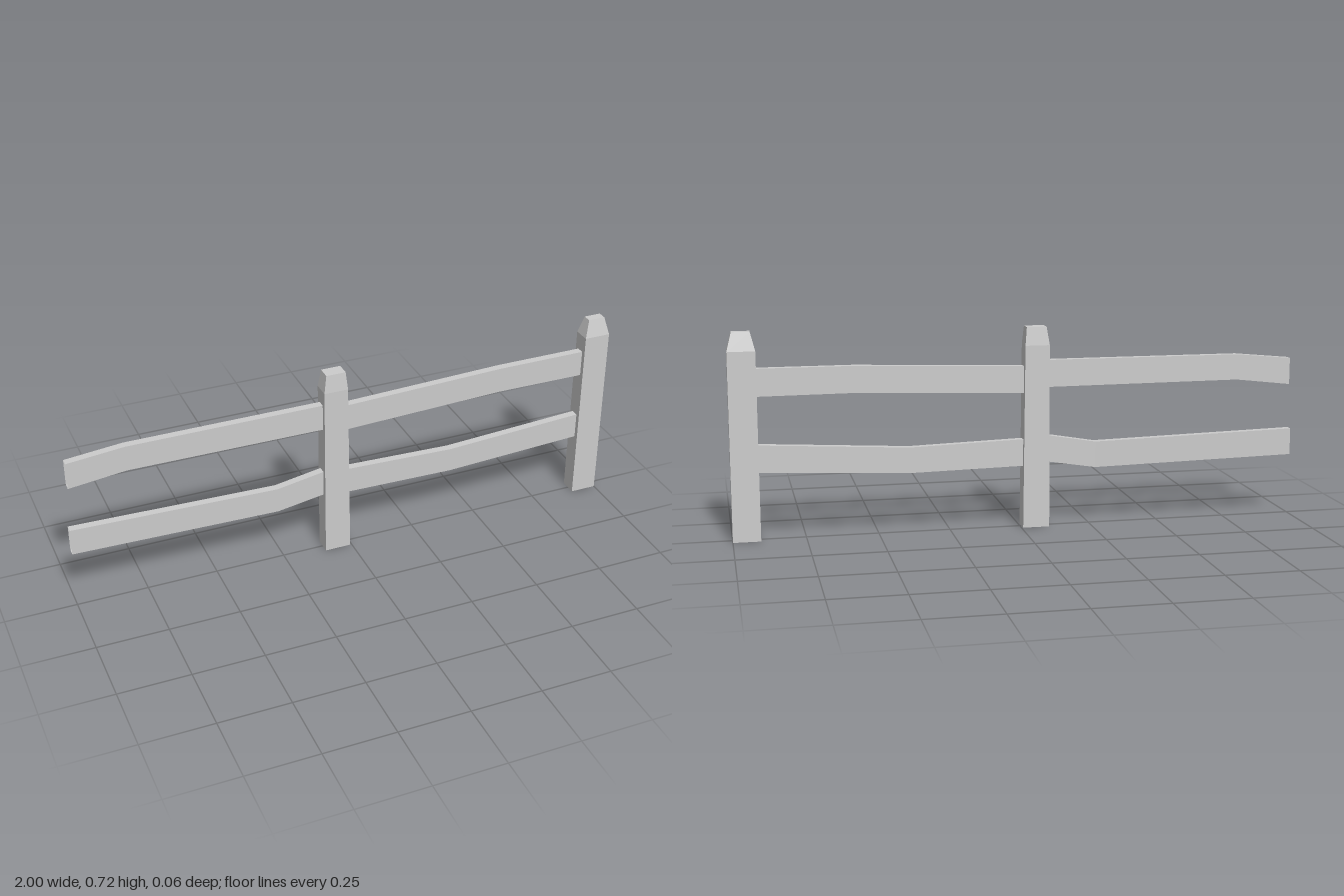
import * as THREE from 'three';

const material = new THREE.MeshStandardMaterial({ color: 0xcccccc, flatShading: true, side: THREE.DoubleSide });

// Skin four-cornered cross-sections into an open-ended tube, with an optional cap on the last one
function loft(name, sections, capEnd) {
  const index = [];
  for (let s = 0; s < sections.length - 1; s++) {
    for (let i = 0; i < 4; i++) {
      const a = s * 4 + i, b = s * 4 + (i + 1) % 4;
      index.push(a, b, b + 4, a, b + 4, a + 4);
    }
  }
  if (capEnd) {
    const k = (sections.length - 1) * 4;
    index.push(k, k + 1, k + 2, k, k + 2, k + 3);
  }
  const indexed = new THREE.BufferGeometry();
  indexed.setAttribute('position', new THREE.Float32BufferAttribute(sections.flat(2), 3));
  indexed.setIndex(index);
  const geometry = indexed.toNonIndexed();
  geometry.computeVertexNormals();
  const mesh = new THREE.Mesh(geometry, material);
  mesh.name = name;
  return mesh;
}

// Post from levels of [y, left x, right x, half depth], open underneath
function post(name, levels) {
  return loft(name, levels.map(([y, x0, x1, d]) =>
    [[x0, y, d], [x1, y, d], [x1, y, -d], [x0, y, -d]]), true);
}

// Bent rail from stations of [x, bottom y, top y]
function rail(name, stations) {
  const d = 0.014;
  return loft(name, stations.map(([x, y0, y1]) =>
    [[x, y0, d], [x, y0, -d], [x, y1, -d], [x, y1, d]]), false);
}

export function createModel() {
  const fence = new THREE.Group();
  fence.name = 'fence';

  // Posts with tapered tops
  fence.add(
    post('middlePost', [[0, -0.1, -0.006, 0.031], [0.645, -0.1, -0.014, 0.031], [0.709, -0.09, -0.02, 0.024]]),
    post('endPost', [[0, 0.905, 1, 0.031], [0.652, 0.905, 1, 0.031], [0.716, 0.921, 0.983, 0.016]]),
  );

  // Sagging rails of both bays
  fence.add(
    rail('rightUpperRail', [[-0.99, 0.477, 0.572], [-0.79, 0.5, 0.591], [-0.09, 0.496, 0.591]]),
    rail('rightLowerRail', [[-1, 0.219, 0.314], [-0.27, 0.203, 0.295], [-0.09, 0.232, 0.326]]),
    rail('leftUpperRail', [[-0.012, 0.477, 0.572], [0.58, 0.498, 0.591], [0.915, 0.496, 0.591]]),
    rail('leftLowerRail', [[-0.012, 0.219, 0.314], [0.39, 0.211, 0.301], [0.915, 0.236, 0.33]]),
  );
  return fence;
}
